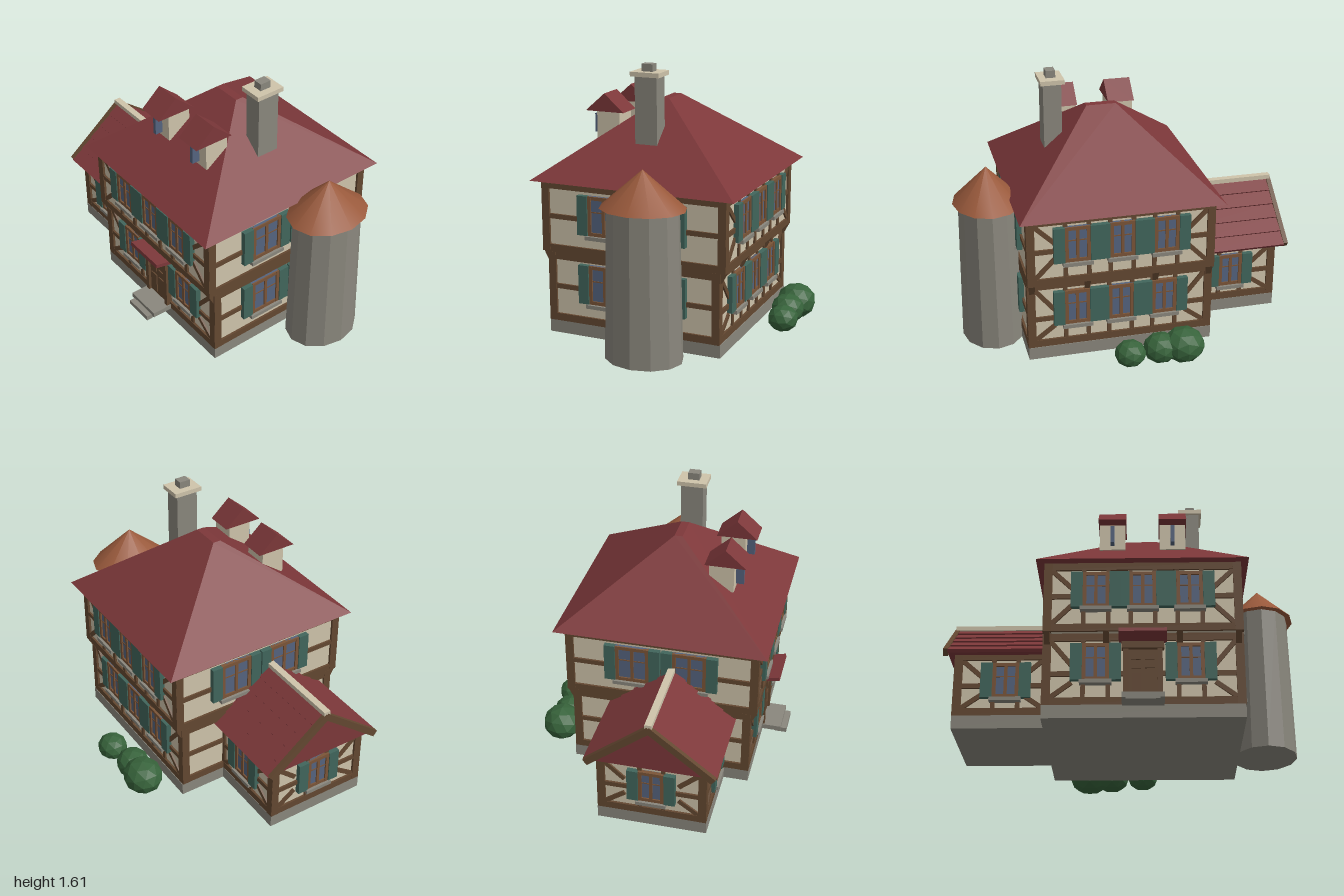
import * as THREE from 'three';
import { ConvexGeometry } from 'three/addons/geometries/ConvexGeometry.js';

const paint = (name, color, flatShading = false) => {
  const m = new THREE.MeshStandardMaterial({ color, flatShading });
  m.name = name;
  return m;
};
const cream = paint('cream plaster', 0xcfc4ab);
const wood = paint('dark timber', 0x644831);
const frameWood = paint('window wood', 0x7b5538);
const red = paint('red tiles', 0x7d383a);
const orange = paint('orange tiles', 0x9a5a3c);
const stone = paint('grey stone', 0x8a877d, true);
const teal = paint('teal shutter', 0x41665c);
const glass = paint('blue glass', 0x55647f);
const green = paint('bush green', 0x37633b, true);

function add(parent, name, geo, mat) {
  const m = new THREE.Mesh(geo, mat);
  m.name = name;
  parent.add(m);
  return m;
}

// Box given by its limits on each axis
function box(parent, name, mat, x0, x1, y0, y1, z0, z1) {
  const m = add(parent, name, new THREE.BoxGeometry(x1 - x0, y1 - y0, z1 - z0), mat);
  m.position.set((x0 + x1) / 2, (y0 + y1) / 2, (z0 + z1) / 2);
  return m;
}

function group(parent, name, x = 0, y = 0, z = 0) {
  const g = new THREE.Group();
  g.name = name;
  g.position.set(x, y, z);
  parent.add(g);
  return g;
}

const hull = (parent, name, mat, pts) =>
  add(parent, name, new ConvexGeometry(pts.map(p => new THREE.Vector3(...p))), mat);

// Gable prism with its ridge along x
function gable(parent, name, mat, x0, x1, y0, y1, z, half) {
  const pts = [];
  for (const x of [x0, x1]) pts.push([x, y0, z - half], [x, y0, z + half], [x, y1, z]);
  return hull(parent, name, mat, pts);
}

// Shuttered window on a wall facing local +z
function shutteredWindow(parent, u, y, w, h) {
  const g = group(parent, 'window', u, y, 0);
  const a = w / 2, b = h / 2, f = 0.02;
  box(g, 'glass', glass, -a, a, -b, b, 0, 0.016);
  for (const s of [-1, 1]) {
    box(g, 'frameSide', frameWood, s * (a - f / 2) - f / 2, s * (a - f / 2) + f / 2, -b, b, 0, 0.025);
    box(g, 'frameRail', frameWood, -a, a, s * (b - f / 2) - f / 2, s * (b - f / 2) + f / 2, 0, 0.024);
    box(g, 'shutter', teal, s * (a + 0.033) - 0.032, s * (a + 0.033) + 0.032, -b, b, 0, 0.03);
  }
  box(g, 'mullion', frameWood, -0.009, 0.009, -b, b, 0, 0.024);
  box(g, 'glazingBar', frameWood, -a, a, 0.02, 0.027, 0, 0.019);
  box(g, 'sill', stone, -a - 0.014, a + 0.014, -b - 0.022, -b, 0, 0.04);
}

function brace(parent, u0, y0, u1, y1) {
  const len = Math.hypot(u1 - u0, y1 - y0);
  const m = add(parent, 'brace', new THREE.BoxGeometry(len, 0.026, 0.011), wood);
  m.position.set((u0 + u1) / 2, (y0 + y1) / 2, 0.0055);
  m.rotation.z = Math.atan2(y1 - y0, u1 - u0);
}

// Timber frame with windows; local origin at the wall's middle, facing local +z
function facade(parent, name, x, z, turn, o) {
  const g = group(parent, name, x, 0, z);
  g.rotation.y = turn;
  const { hw, y0, y1, rail, wins, winY, w = 0.145, h = 0.215, braced = true } = o;
  const p = 0.013, t = 0.043;
  box(g, 'sillBeam', wood, -hw, hw, y0, y0 + t, 0, p);
  box(g, 'topBeam', wood, -hw, hw, y1 - t, y1, 0, p);
  box(g, 'midRail', wood, -hw, hw, rail - 0.014, rail + 0.014, 0, p - 0.001);
  for (const s of [-1, 1]) {
    box(g, 'cornerPost', wood, s * (hw - 0.01) - 0.023, s * (hw - 0.01) + 0.023, y0, y1, -0.02, p + 0.001);
    if (!braced) continue;
    const a = s * (hw - 0.03), b = s * (hw - 0.145);
    brace(g, a, y1 - t, b, rail + 0.05);
    brace(g, a, y0 + t, b, rail - 0.05);
  }
  for (const u of wins) {
    if (braced) for (const s of [-1, 1]) {
      const c = u + s * (w / 2 - 0.005);
      box(g, 'stud', wood, c - 0.012, c + 0.012, y0, y1, 0, p - 0.002);
    }
    shutteredWindow(g, u, winY, w, h);
  }
  return g;
}

function mainHouse(root) {
  const g = group(root, 'mainHouse');
  box(g, 'foundation', stone, -0.443, 0.645, 0.04, 0.115, -0.475, 0.585);
  box(g, 'groundWalls', cream, -0.43, 0.633, 0.115, 0.53, -0.458, 0.572);
  box(g, 'upperWalls', cream, -0.43, 0.633, 0.53, 0.945, -0.492, 0.607);
  const cx = 0.1015, hw = 0.5315, H = Math.PI / 2;
  const low = { y0: 0.115, y1: 0.53, rail: 0.295, winY: 0.36 };
  const up = { y0: 0.53, y1: 0.945, rail: 0.74, winY: 0.777 };
  const three = [-0.257, 0, 0.257], two = [-0.167, 0.167];
  facade(g, 'frontGround', cx, 0.572, 0, { ...low, hw, wins: [-0.257, 0.257] });
  facade(g, 'frontUpper', cx, 0.607, 0, { ...up, hw, wins: three });
  facade(g, 'backGround', cx, -0.458, Math.PI, { ...low, hw, wins: three });
  facade(g, 'backUpper', cx, -0.492, Math.PI, { ...up, hw, wins: three });
  const side = { w: 0.196, h: 0.23, braced: false };
  const sideLow = { ...low, ...side, hw: 0.515, rail: 0.325 };
  const sideUp = { ...up, ...side, hw: 0.5495, winY: 0.768 };
  facade(g, 'leftGround', 0.633, 0.057, H, { ...sideLow, wins: two });
  facade(g, 'leftUpper', 0.633, 0.0575, H, { ...sideUp, wins: two });
  facade(g, 'rightGround', -0.43, 0.057, -H, { ...sideLow, wins: [] });
  facade(g, 'rightUpper', -0.43, 0.0575, -H, { ...sideUp, wins: two });

  // Brackets under the overhanging upper floor
  for (const u of [-0.42, -0.1, 0.3, 0.62]) for (const [z, s] of [[0.585, 1], [-0.471, -1]])
    hull(g, 'bracket', wood, [u - 0.016, u + 0.016].flatMap(x =>
      [[x, 0.53, z], [x, 0.465, z], [x, 0.53, z + s * 0.034]]));

  // Truncated hip roof
  hull(g, 'hipRoof', red, [
    [-0.488, 0.945, -0.565], [0.688, 0.945, -0.565], [0.688, 0.945, 0.673], [-0.488, 0.945, 0.673],
    [0.01, 1.38, 0.03], [0.185, 1.38, 0.03], [0.185, 1.38, 0.077], [0.01, 1.38, 0.077]]);
}

function dormer(root, cx) {
  const g = group(root, 'dormer', cx, 0, 0);
  box(g, 'dormerWalls', cream, -0.074, 0.074, 1.145, 1.31, 0.267, 0.41);
  box(g, 'dormerWindow', glass, -0.011, 0.011, 1.17, 1.278, 0.4, 0.456);
  gable(g, 'dormerRoof', red, -0.08, 0.08, 1.306, 1.412, 0.36, 0.12);
}

function chimney(root) {
  const g = group(root, 'chimney');
  box(g, 'stack', stone, 0.337, 0.443, 1.155, 1.54, -0.01, 0.124);
  box(g, 'cap', cream, 0.32, 0.46, 1.54, 1.566, -0.03, 0.145);
  box(g, 'flue', stone, 0.363, 0.418, 1.566, 1.608, 0.026, 0.094);
}

function entrance(root) {
  const g = group(root, 'entrance', 0.1, 0, 0.572);
  box(g, 'door', wood, -0.08, 0.08, 0.115, 0.45, 0, 0.018);
  for (const s of [-1, 1]) {
    box(g, 'doorPost', wood, s * 0.092 - 0.014, s * 0.092 + 0.014, 0.115, 0.45, 0, 0.035);
    for (const [a, b] of [[0.16, 0.29], [0.32, 0.35], [0.37, 0.4]])
      box(g, 'doorPanel', wood, s * 0.037 - 0.026, s * 0.037 + 0.026, a, b, 0.018, 0.025);
  }
  box(g, 'lintel', wood, -0.115, 0.115, 0.43, 0.468, 0, 0.045);
  const roof = box(g, 'canopy', red, -0.13, 0.13, 0.484, 0.506, 0.005, 0.115);
  roof.rotation.x = -0.22;
  box(g, 'upperStep', stone, -0.113, 0.113, 0.108, 0.138, 0.005, 0.136);
  box(g, 'lowerStep', stone, -0.09, 0.09, 0.086, 0.115, 0.1, 0.17);
}

function annex(root) {
  const g = group(root, 'annex', 0, 0, 0.125);
  box(g, 'annexFoundation', stone, -0.94, -0.43, 0.04, 0.115, -0.315, 0.315);
  box(g, 'annexWalls', cream, -0.927, -0.42, 0.115, 0.485, -0.3, 0.3);
  const o = { y0: 0.115, y1: 0.485, rail: 0.29, wins: [0], winY: 0.317, h: 0.205 };
  facade(g, 'annexFront', -0.6735, 0.3, 0, { ...o, hw: 0.2535, wins: [0.02] });
  facade(g, 'annexBack', -0.6735, -0.3, Math.PI, { ...o, hw: 0.2535, wins: [-0.02] });
  facade(g, 'annexEnd', -0.927, 0, -Math.PI / 2, { ...o, hw: 0.3 });
  gable(g, 'annexRoof', red, -0.975, -0.43, 0.472, 0.757, 0, 0.358);

  // Overlapping tile courses and gable boards on both slopes
  const tilt = Math.atan2(0.29, 0.37), step = 0.094;
  for (const s of [-1, 1]) {
    const slope = group(g, 'roofSlope', 0, 0.765, 0);
    slope.rotation.x = s * tilt;
    for (let i = 0; i < 5; i++) {
      const c = s * step * (i + 0.5);
      const row = box(slope, 'tileCourse', red, -0.975, -0.435, -0.014, 0.004, c - 0.05, c + 0.05);
      row.rotation.x = -s * 0.09;
    }
    box(slope, 'gableBoard', wood, -1, -0.973, -0.03, 0.01, Math.min(0, s * 0.466), Math.max(0, s * 0.466));
  }
  box(g, 'ridgeCap', cream, -0.995, -0.44, 0.76, 0.787, -0.02, 0.02);
}

function tower(root) {
  const g = group(root, 'tower', 0.798, 0, -0.088);
  const wall = add(g, 'towerWall', new THREE.CylinderGeometry(0.207, 0.225, 0.86, 12), stone);
  wall.position.y = 0.47;
  const cone = add(g, 'towerRoof', new THREE.ConeGeometry(0.247, 0.213, 12), orange);
  cone.position.y = 1.0035;
  g.scale.x = 0.815;
}

function bushes(root) {
  const g = group(root, 'bushes');
  for (const [x, y, z, rx, ry, rz] of [
    [-0.235, 0.108, -0.625, 0.125, 0.105, 0.118],
    [-0.1, 0.1, -0.615, 0.105, 0.09, 0.1],
    [0.09, 0.11, -0.65, 0.092, 0.078, 0.09]]) {
    const b = add(g, 'bush', new THREE.IcosahedronGeometry(1, 1), green);
    b.position.set(x, y, z);
    b.scale.set(rx, ry, rz);
  }
}

export function createModel() {
  const root = new THREE.Group();
  root.name = 'timberHouse';
  mainHouse(root);
  for (const x of [-0.073, 0.275]) dormer(root, x);
  chimney(root);
  entrance(root);
  annex(root);
  tower(root);
  bushes(root);
  return root;
}
